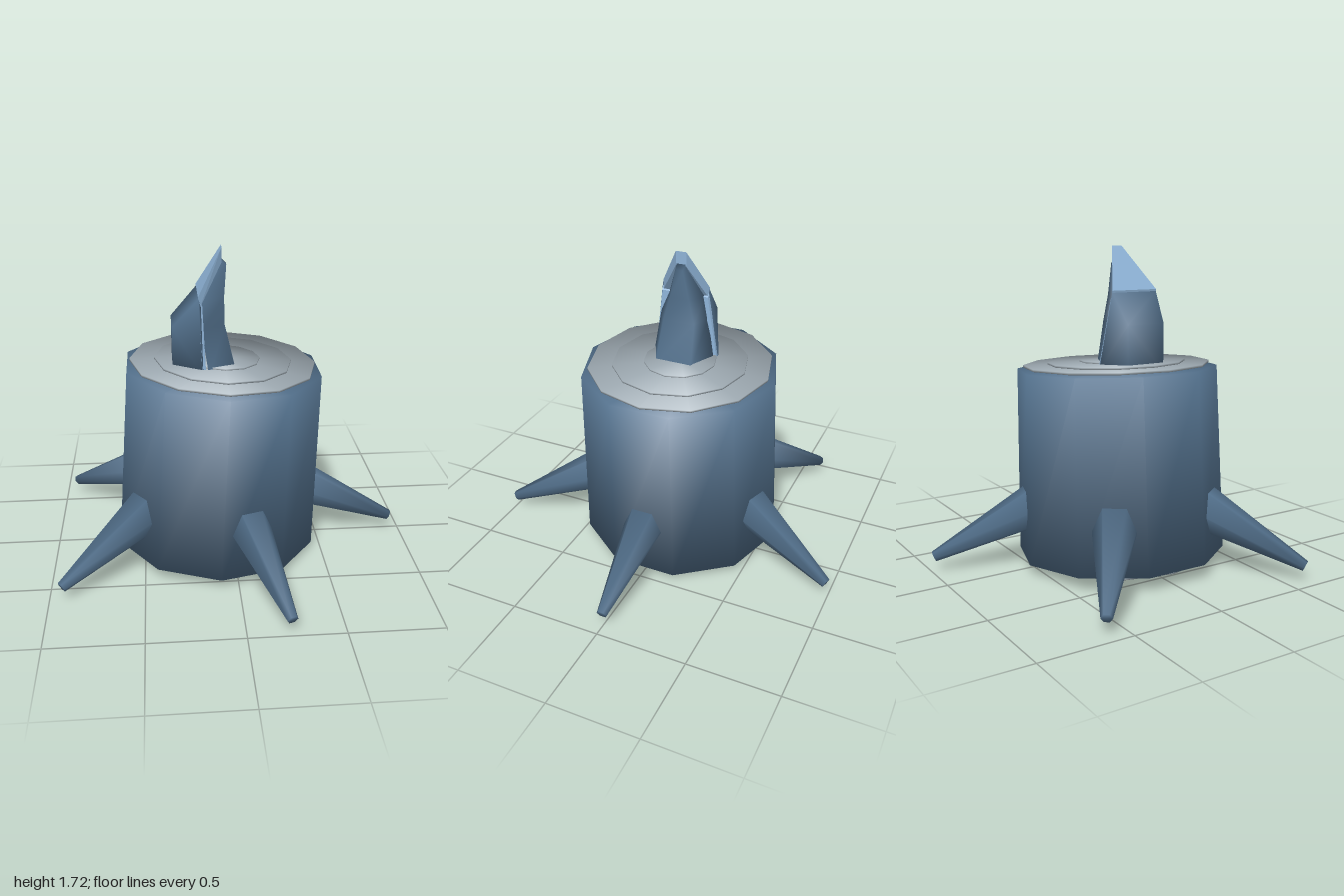
import * as THREE from 'three';
import { ConvexGeometry } from 'three/addons/geometries/ConvexGeometry.js';
import { mergeVertices } from 'three/addons/utils/BufferGeometryUtils.js';

const bark = new THREE.MeshStandardMaterial({ color: 0x54728e });
const rawWood = new THREE.MeshStandardMaterial({ color: 0x8fb4d8, flatShading: true });
const cutWood = new THREE.MeshStandardMaterial({ color: 0xa0acb4 });

function add(parent, name, geometry, material) {
  const mesh = new THREE.Mesh(geometry, material);
  mesh.name = name;
  parent.add(mesh);
  return mesh;
}

// Cylinder whose shading runs smoothly over the rims onto the caps
function softCylinder(top, bottom, height, sides) {
  const geometry = new THREE.CylinderGeometry(top, bottom, height, sides);
  const { position, normal } = geometry.attributes;
  const n = new THREE.Vector3();
  for (let i = 0; i < position.count; i++) {
    n.fromBufferAttribute(position, i).setY(0).normalize();
    n.setY(0.85 * Math.sign(position.getY(i))).normalize();
    normal.setXYZ(i, n.x, n.y, n.z);
  }
  return geometry;
}

// Convex solid from a short list of corners
function hull(corners) {
  return new ConvexGeometry(corners.map((c) => new THREE.Vector3(...c)));
}

// Hull with one shared normal per corner
function softHull(corners) {
  const geometry = hull(corners);
  geometry.deleteAttribute('normal');
  const merged = mergeVertices(geometry);
  merged.computeVertexNormals();
  return merged;
}

// Smooth skin over equal-sized rings, listed from bottom to top, closed at the top
function loft(rings) {
  const count = rings[0].length;
  const index = [];
  for (let r = 0; r < rings.length - 1; r++) {
    for (let i = 0; i < count; i++) {
      const a = r * count + i;
      const b = r * count + ((i + 1) % count);
      index.push(a, b, b + count, a, b + count, a + count);
    }
  }
  const last = (rings.length - 1) * count;
  for (let i = 1; i < count - 1; i++) index.push(last, last + i, last + i + 1);
  const geometry = new THREE.BufferGeometry();
  geometry.setAttribute('position', new THREE.Float32BufferAttribute(rings.flat(2), 3));
  geometry.setIndex(index);
  geometry.computeVertexNormals();
  return geometry;
}

export function createModel() {
  const model = new THREE.Group();
  model.name = 'treeStump';

  // Leaning ten-sided trunk
  const trunk = new THREE.Group();
  trunk.name = 'trunk';
  trunk.position.set(-0.095, 0.06, 0);
  trunk.rotation.z = -0.05;
  model.add(trunk);
  const height = 1.017;
  add(trunk, 'bark', softCylinder(0.547, 0.572, height, 10), bark).position.y = height / 2;

  // Stacked growth-ring discs on both cut ends
  [[0.508, 0.017], [0.375, 0.028], [0.2, 0.037]].forEach(([radius, offset], i) => {
    const disc = softCylinder(radius, radius, 0.012, 12);
    add(trunk, `topRing${i + 1}`, disc, cutWood).position.y = height + offset;
    add(trunk, `bottomRing${i + 1}`, disc, cutWood).position.y = -offset;
  });

  // Five tapered roots sloping down to the ground
  const start = new THREE.Vector3(0.4, 0.38, 0);
  const tip = new THREE.Vector3(1.035, 0.09, 0);
  const length = start.distanceTo(tip);
  for (let i = 0; i < 5; i++) {
    const root = new THREE.Group();
    root.name = `root${i + 1}`;
    root.position.x = -0.095;
    root.rotation.y = (i * Math.PI * 2) / 5;
    const spike = add(root, 'rootSpike', softCylinder(0.029, 0.136, length, 6), bark);
    spike.position.copy(start).add(tip).multiplyScalar(0.5);
    spike.rotation.z = Math.atan2(tip.y - start.y, tip.x - start.x) - Math.PI / 2;
    model.add(root);
  }

  // Splintered remains of the trunk's core
  const core = new THREE.Group();
  core.name = 'splinter';
  model.add(core);
  const y = 1.08;
  add(core, 'outerSplinter', softHull([
    [-0.32, y, 0.12], [-0.16, y, 0.2], [-0.16, y, -0.18], [-0.32, y, -0.1],
    [-0.32, 1.33, 0.12], [-0.32, 1.33, -0.1], [-0.18, 1.49, 0.165], [-0.18, 1.49, -0.11],
    [-0.168, 1.45, 0.165], [-0.168, 1.45, -0.11],
  ]), bark);

  // Pale exposed wood: an upright sheet and the blade leaning over it
  add(core, 'woodSheet', hull([
    [-0.165, y, 0.199], [-0.165, y, -0.179], [-0.145, y, 0.195], [-0.145, y, -0.175],
    [-0.18, 1.48, 0.165], [-0.18, 1.48, -0.11], [-0.16, 1.45, 0.16], [-0.16, 1.45, -0.108],
  ]), rawWood);
  add(core, 'woodBlade', hull([
    [-0.182, 1.5, 0.165], [-0.182, 1.5, -0.11], [-0.175, 1.44, 0.165], [-0.175, 1.44, -0.11],
    [-0.05, 1.728, 0.03], [-0.05, 1.728, -0.03], [-0.05, 1.65, 0.03], [-0.05, 1.65, -0.03],
  ]), rawWood);

  // Bark-covered point in front of the sheet
  add(core, 'innerSplinter', loft([
    [[-0.13, y, 0.2], [0.018, y, 0.125], [0.018, y, -0.085], [-0.13, y, -0.165]],
    [[-0.165, 1.33, 0.17], [-0.04, 1.33, 0.1], [-0.04, 1.33, -0.08], [-0.165, 1.33, -0.11]],
    [[-0.17, 1.45, 0.12], [-0.04, 1.47, 0.06], [-0.04, 1.47, -0.05], [-0.17, 1.45, -0.085]],
    [[-0.05, 1.66, 0.025], [-0.025, 1.635, 0.02], [-0.025, 1.635, -0.02], [-0.05, 1.66, -0.025]],
  ]), bark);

  return model;
}
